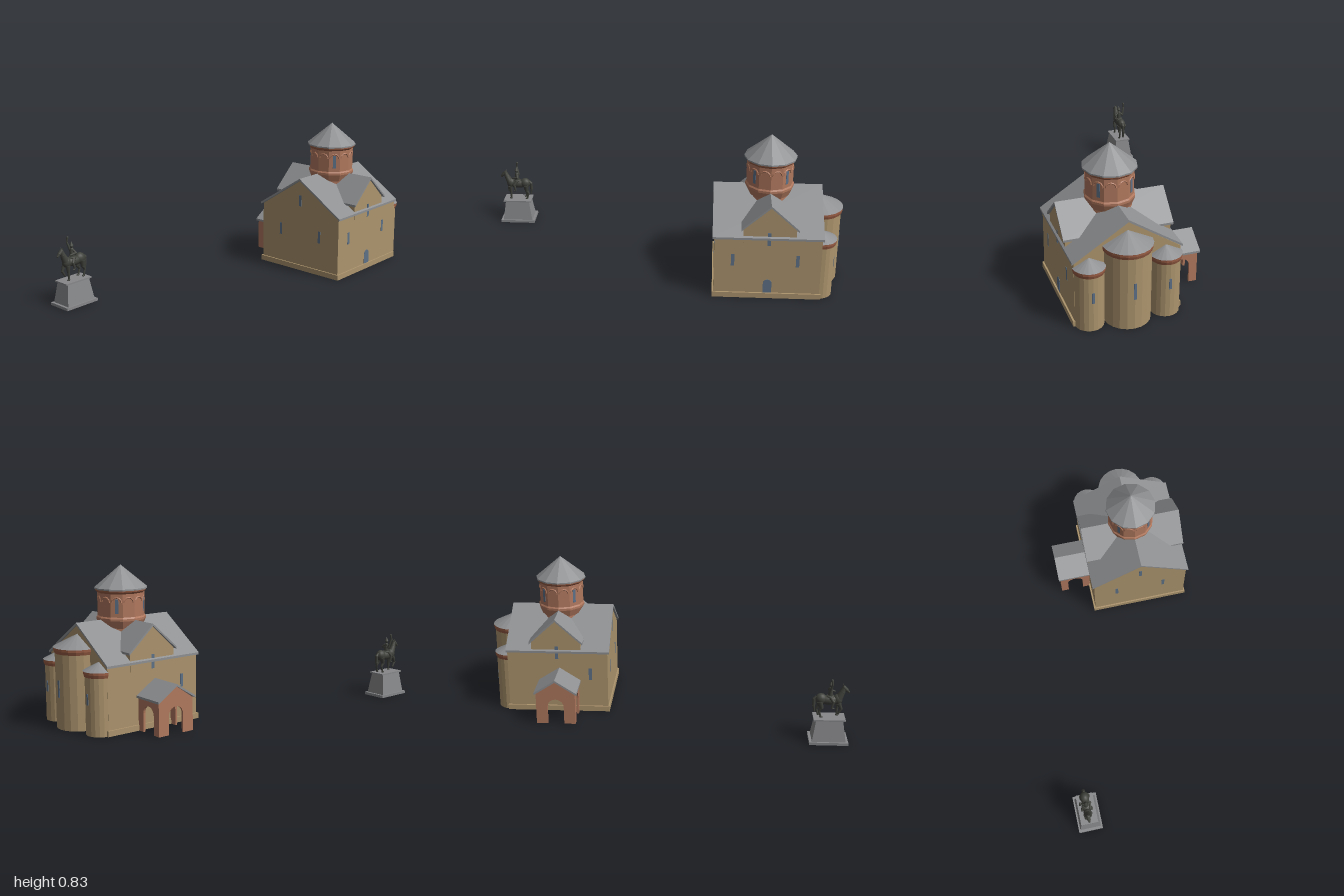
import * as THREE from 'three';

const mat = (name, color) => Object.assign(new THREE.MeshStandardMaterial({ color, flatShading: true }), { name });

export function createModel() {
  const stone = mat('stone', 0xac946d);
  const brick = mat('brick', 0xb0785e);
  const cornice = mat('corniceBrick', 0x9a5e45);
  const slate = mat('roofSlate', 0x8e9092);
  const glass = mat('windowGlass', 0x5d7188);
  const granite = mat('granite', 0x87888a);
  const bronze = mat('bronze', 0x40423c);
  bronze.flatShading = false;

  const root = new THREE.Group();
  root.name = 'churchAndStatue';
  const group = (name, parent = root) => {
    const g = new THREE.Group();
    g.name = name;
    parent.add(g);
    return g;
  };
  const add = (parent, name, geo, m, x = 0, y = 0, z = 0, ry = 0) => {
    const mesh = new THREE.Mesh(geo, m);
    mesh.name = name;
    mesh.position.set(x, y, z);
    mesh.rotation.y = ry;
    parent.add(mesh);
    return mesh;
  };
  const box = (w, h, d) => new THREE.BoxGeometry(w, h, d);

  // Extrusion of a list of points, centred along its depth
  const prism = (pts, depth) => {
    const s = new THREE.Shape(pts.map(([x, y]) => new THREE.Vector2(x, y)));
    return new THREE.ExtrudeGeometry(s, { depth, bevelEnabled: false }).translate(0, 0, -depth / 2);
  };
  const house = (hw, y0, eave, ridge, depth) =>
    prism([[-hw, y0], [hw, y0], [hw, eave], [0, ridge], [-hw, eave]], depth);
  const gableRoof = (hw, eave, ridge, t, depth) =>
    prism([[-hw, eave], [0, ridge - t], [hw, eave], [hw, eave + t], [0, ridge], [-hw, eave + t]], depth);

  // Outline of an arched opening
  const archPoints = (w, h, n = 10) => {
    const r = w / 2, pts = [[r, 0]];
    for (let i = 0; i <= n; i++) {
      const a = (Math.PI * i) / n;
      pts.push([r * Math.cos(a), h - r + r * Math.sin(a)]);
    }
    pts.push([-r, 0]);
    return pts;
  };
  // Thin pane centred on a wall surface
  const pane = (parent, x, y, z, ry, w, h, arched = false) => add(parent, 'window',
    arched ? prism(archPoints(w, h), 0.003) : box(w, h, 0.003).translate(0, h / 2, 0), glass, x, y, z, ry);

  const CX = 0.594, CZ = 0.1765, Q = Math.PI / 2;
  const church = group('church');
  church.position.set(CX, 0, CZ);

  // Plinth ring around a raised floor
  for (const s of [1, -1]) {
    add(church, 'plinthLong', box(0.58, 0.03, 0.012), stone, 0, 0.015, s * 0.277);
    add(church, 'plinthShort', box(0.012, 0.03, 0.542), stone, s * 0.284, 0.015);
  }

  // Nave and crossing
  add(church, 'naveWalls', house(0.274, 0.03, 0.354, 0.536, 0.564), stone, 0, 0, 0, Q);
  add(church, 'naveRoof', gableRoof(0.285, 0.351, 0.549, 0.012, 0.582), slate, -0.002, 0, 0, Q);
  add(church, 'transeptWalls', house(0.138, 0.3, 0.408, 0.54, 0.55), stone, 0.006);
  add(church, 'transeptRoof', gableRoof(0.15, 0.402, 0.55, 0.012, 0.574), slate, 0.006);

  // Windows and door of the long and west walls
  for (const s of [1, -1]) {
    pane(church, -0.184, 0.19, s * 0.274, 0, 0.018, 0.07);
    pane(church, 0.003, 0.315, s * 0.275, 0, 0.018, 0.075);
    pane(church, -0.282, 0.19, s * 0.14, Q, 0.016, 0.07);
  }
  pane(church, 0.158, 0.19, 0.274, 0, 0.018, 0.07);
  pane(church, 0.004, 0.03, 0.274, 0, 0.046, 0.08, true);
  pane(church, -0.282, 0.385, 0, Q, 0.016, 0.065);

  // Rounded apses on the east side
  const half = (rt, rb, h, y) => new THREE.CylinderGeometry(rt, rb, h, 10, 1, false, 0, Math.PI).translate(0, y + h / 2, 0);
  const apse = (name, z, r, top, apex, winY, winH, arched) => {
    const g = group(name, church);
    g.position.set(0.28, 0, z);
    add(g, 'apseWall', half(r, r, top, 0), stone);
    add(g, 'apseCornice', half(r + 0.008, r + 0.003, 0.016, top), cornice);
    add(g, 'apseCorniceRim', half(r + 0.008, r + 0.008, 0.013, top + 0.016), cornice);
    add(g, 'apseRoof', half(0, r + 0.009, apex - top - 0.029, top + 0.029), slate);
    pane(g, r, winY, 0, Q, 0.014, winH, arched);
  };
  apse('centralApse', 0.002, 0.12, 0.398, 0.492, 0.17, 0.09, false);
  for (const s of [1, -1]) apse('sideApse', s * 0.198, 0.075, 0.302, 0.375, 0.16, 0.06, true);

  // Twelve-sided drum with blind arcade and pointed roof
  const drum = group('drum', church);
  drum.position.set(0.006, 0, 0.002);
  const lathe = (pts) => new THREE.LatheGeometry(pts.map(([r, y]) => new THREE.Vector2(r, y)), 12);
  add(drum, 'drumWall', lathe([[0.115, 0.4], [0.115, 0.505], [0.131, 0.545], [0.131, 0.557], [0.125, 0.565], [0.125, 0.695]]), brick);
  add(drum, 'drumCornice', lathe([[0.125, 0.688], [0.135, 0.698], [0.137, 0.71], [0, 0.71]]), cornice);
  add(drum, 'drumRoof', lathe([[0, 0.706], [0.141, 0.706], [0.141, 0.714], [0, 0.832]]), slate);
  const apothem = 0.125 * Math.cos(Math.PI / 12);
  for (let i = 0; i < 12; i++) {
    const a = ((i + 0.5) * Math.PI) / 6;
    const x = Math.sin(a) * apothem, z = Math.cos(a) * apothem;
    add(drum, 'arcadeArch', new THREE.TorusGeometry(0.026, 0.004, 4, 6, Math.PI), brick, x, 0.643, z, a);
    if (i % 3 === 1) pane(drum, x, 0.585, z, a, 0.018, 0.075);
  }

  // Open porch at the back
  const porch = group('porch', church);
  porch.position.set(-0.01, 0, 0);
  const archedPanel = (hw, eave, ridge, w, h) =>
    prism([[-hw, 0], ...archPoints(w, h).reverse(), [hw, 0], [hw, eave], [0, ridge], [-hw, eave]], 0.012);
  add(porch, 'porchFront', archedPanel(0.108, 0.176, 0.252, 0.09, 0.145), brick, 0, 0, -0.446);
  for (const s of [1, -1]) {
    add(porch, 'porchSide', archedPanel(0.088, 0.178, 0.178, 0.09, 0.145), brick, s * 0.102, 0, -0.364, Q);
  }
  add(porch, 'porchRoof', gableRoof(0.118, 0.174, 0.262, 0.012, 0.19), slate, 0, 0, -0.368);

  // Pedestal, tapering upward
  const statue = group('statue');
  statue.position.set(-0.897, 0, -0.395);
  add(statue, 'pedestalBase', box(0.206, 0.015, 0.136), granite, 0, 0.0075);
  const shaft = box(0.178, 0.116, 0.118);
  const p = shaft.attributes.position;
  for (let i = 0; i < p.count; i++) {
    if (p.getY(i) > 0) p.setXYZ(i, p.getX(i) * 0.8, p.getY(i), p.getZ(i) * 0.72);
  }
  add(statue, 'pedestalShaft', shaft, granite, 0, 0.073);
  add(statue, 'pedestalCap', box(0.168, 0.008, 0.096), granite, 0, 0.134);

  // Rounded limbs between points, and ellipsoids
  const horse = group('horse', statue), rider = group('rider', statue);
  const blob = (g, name, x, y, z, rx, ry, rz) =>
    add(g, name, new THREE.SphereGeometry(1, 14, 10).scale(rx, ry, rz), bronze, x, y, z);
  const limb = (g, name, ...pts) => {
    for (let i = 0; i < pts.length - 1; i++) {
      const [ax, ay, az, ar] = pts[i], [bx, by, bz, br] = pts[i + 1];
      const a = new THREE.Vector3(ax, ay, az), d = new THREE.Vector3(bx, by, bz).sub(a);
      const m = add(g, name, new THREE.CylinderGeometry(br, ar, d.length(), 10), bronze);
      m.position.copy(a).addScaledVector(d, 0.5);
      m.quaternion.setFromUnitVectors(new THREE.Vector3(0, 1, 0), d.normalize());
      blob(g, name + 'Joint', bx, by, bz, br, br, br);
    }
  };

  // Horse
  blob(horse, 'barrel', 0.004, 0.235, 0, 0.062, 0.026, 0.024);
  blob(horse, 'chest', -0.04, 0.239, 0, 0.025, 0.03, 0.022);
  blob(horse, 'rump', 0.048, 0.24, 0, 0.031, 0.031, 0.026);
  limb(horse, 'neck', [-0.044, 0.245, 0, 0.021], [-0.062, 0.283, 0, 0.015], [-0.07, 0.307, 0, 0.011]);
  limb(horse, 'head', [-0.068, 0.308, 0, 0.012], [-0.083, 0.295, 0, 0.01], [-0.095, 0.283, 0, 0.006]);
  limb(horse, 'tail', [0.072, 0.254, 0, 0.006], [0.084, 0.238, 0, 0.009], [0.084, 0.2, 0, 0.008], [0.079, 0.165, 0, 0.003]);
  for (const s of [1, -1]) {
    limb(horse, 'ear', [-0.066, 0.312, s * 0.006, 0.004], [-0.066, 0.326, s * 0.007, 0.001]);
    limb(horse, 'hindLeg', [0.054, 0.23, s * 0.014, 0.017], [0.05 + s * 0.006, 0.195, s * 0.015, 0.01],
      [0.062 + s * 0.006, 0.176, s * 0.015, 0.006], [0.052 + s * 0.006, 0.144, s * 0.015, 0.005]);
    blob(horse, 'hindHoof', 0.05 + s * 0.006, 0.143, s * 0.015, 0.009, 0.005, 0.007);
  }
  limb(horse, 'standingForeleg', [-0.042, 0.222, 0.013, 0.013], [-0.04, 0.18, 0.014, 0.007], [-0.04, 0.144, 0.014, 0.005]);
  blob(horse, 'foreHoof', -0.042, 0.143, 0.014, 0.009, 0.005, 0.007);
  limb(horse, 'raisedForeleg', [-0.045, 0.222, -0.013, 0.013], [-0.06, 0.19, -0.014, 0.007], [-0.045, 0.163, -0.014, 0.005]);

  // Rider with one arm raised
  blob(rider, 'saddle', 0, 0.257, 0, 0.022, 0.008, 0.022);
  limb(rider, 'torso', [0, 0.252, 0, 0.014], [-0.001, 0.285, 0, 0.012], [-0.001, 0.3, 0, 0.01]);
  blob(rider, 'head', -0.002, 0.319, 0, 0.009, 0.011, 0.008);
  add(rider, 'helmet', new THREE.ConeGeometry(0.011, 0.022, 12), bronze, -0.002, 0.334, 0);
  limb(rider, 'raisedArm', [0, 0.298, -0.008, 0.006], [0.006, 0.284, -0.022, 0.006], [0, 0.312, -0.028, 0.006], [-0.006, 0.335, -0.033, 0.005], [-0.002, 0.36, -0.03, 0.006]);
  limb(rider, 'reinArm', [0, 0.298, 0.008, 0.006], [0.006, 0.285, 0.025, 0.006], [-0.024, 0.277, 0.017, 0.005]);
  for (const s of [1, -1]) {
    limb(rider, 'riderLeg', [0, 0.255, s * 0.014, 0.01], [-0.016, 0.234, s * 0.025, 0.008], [-0.008, 0.2, s * 0.027, 0.005], [-0.018, 0.197, s * 0.028, 0.004]);
  }
  return root;
}
